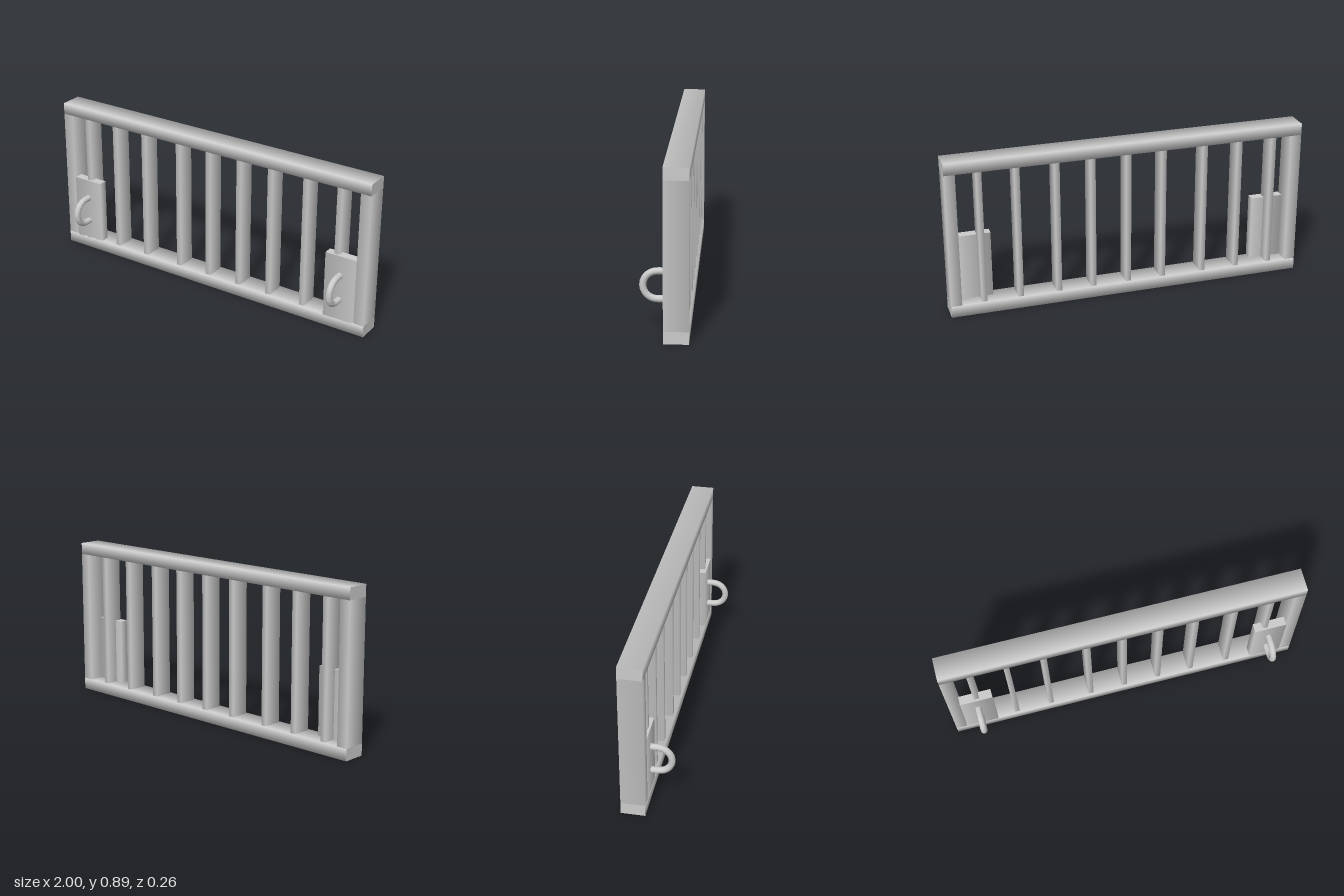
import * as THREE from 'three';

const material = new THREE.MeshStandardMaterial({ color: 0xcccccc });

// Square bar from min to max corner, softly shaded around its long axis ('x' or 'y')
function bar(name, min, max, axis = 'y') {
  const geometry = new THREE.CylinderGeometry(Math.SQRT1_2, Math.SQRT1_2, 1, 4, 1, false, Math.PI / 4);
  if (axis === 'x') geometry.rotateZ(Math.PI / 2);
  const a = new THREE.Vector3(...min), b = new THREE.Vector3(...max);
  const size = b.clone().sub(a);
  // Resize positions only, so the side normals keep their even blend
  geometry.attributes.position.applyMatrix4(new THREE.Matrix4().makeScale(size.x, size.y, size.z));
  const mesh = new THREE.Mesh(geometry, material);
  mesh.name = name;
  mesh.position.copy(a).add(b).multiplyScalar(0.5);
  return mesh;
}

// U-shaped pull handle standing out towards +z
function handle(x) {
  const y = 0.252, z = 0.037, r = 0.073;
  const path = new THREE.CurvePath();
  const arc = [];
  for (let i = 0; i <= 10; i++) {
    const t = Math.PI / 2 - (i / 10) * Math.PI;
    arc.push(new THREE.Vector3(x, y + r * Math.sin(t), z + r * Math.cos(t)));
  }
  const points = [new THREE.Vector3(x, y + r, -0.02), ...arc, new THREE.Vector3(x, y - r, -0.02)];
  for (let i = 1; i < points.length; i++) path.add(new THREE.LineCurve3(points[i - 1], points[i]));
  const mesh = new THREE.Mesh(new THREE.TubeGeometry(path, 32, 0.018, 12, false), material);
  mesh.name = 'handle';
  return mesh;
}

export function createModel() {
  const group = new THREE.Group();
  group.name = 'barredPanel';
  const back = -0.128, low = 0.065, high = 0.825, top = 0.89;

  // Horizontal rails
  group.add(bar('bottomRail', [-1, 0, back], [1, low, 0], 'x'));
  group.add(bar('topRail', [-1, high, back], [1, top, 0], 'x'));

  // End posts, handle plates and handles
  for (const s of [-1, 1]) {
    const side = s > 0 ? 'left' : 'right';
    group.add(bar(side + 'Post', [s * 0.97 - 0.03, low, back], [s * 0.97 + 0.03, high, 0]));
    group.add(bar(side + 'Plate', [s * 0.845 - 0.091, 0.06, -0.05], [s * 0.845 + 0.091, 0.438, 0]));
    group.add(handle(s * 0.845));
  }

  // Upright slats, slightly unevenly spaced
  for (const x of [-0.84, -0.64, -0.437, -0.2, 0, 0.2, 0.397, 0.613, 0.815]) {
    group.add(bar('slat', [x - 0.015, 0.06, -0.118], [x + 0.015, 0.83, -0.012]));
  }
  return group;
}
